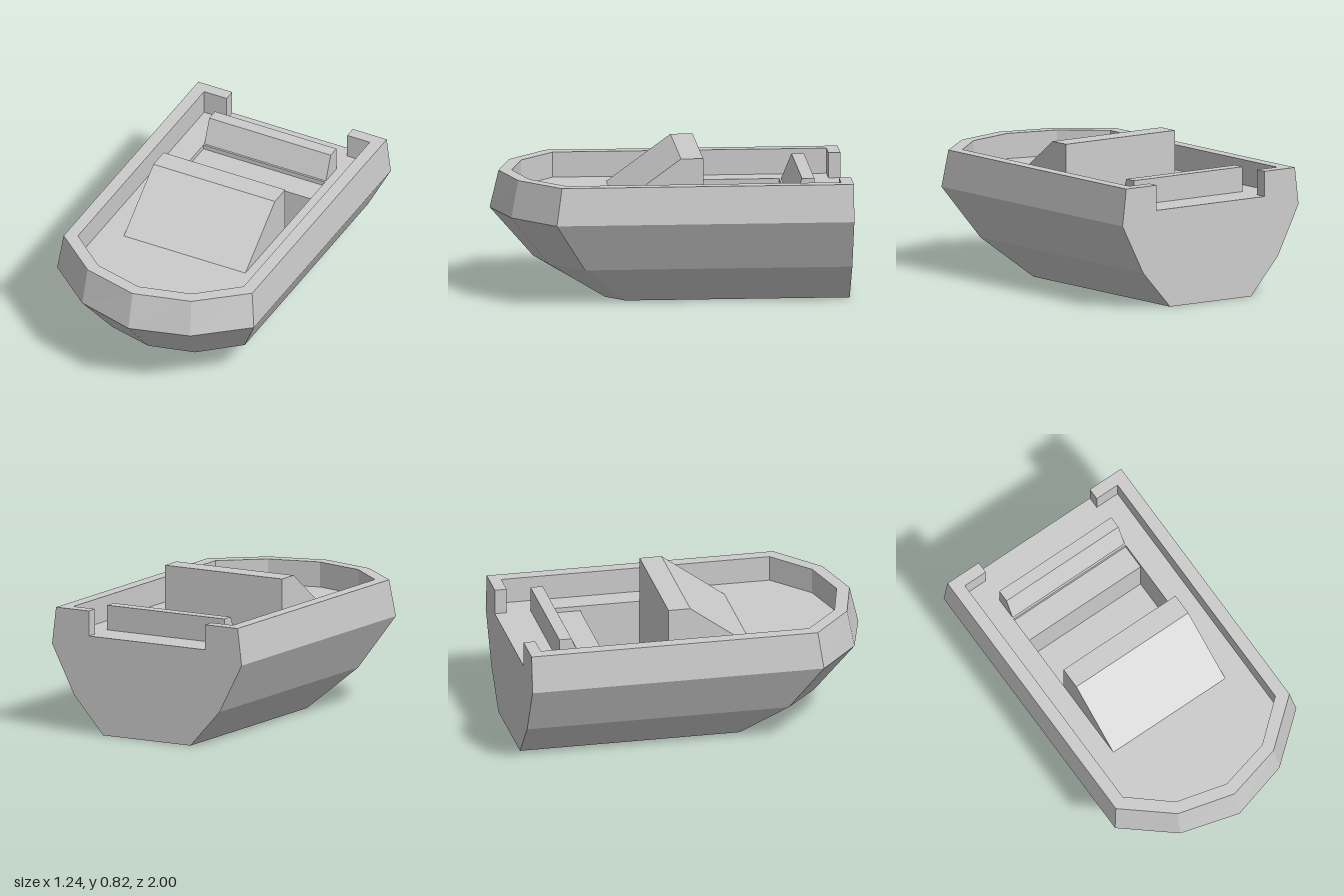
import * as THREE from 'three';

const material = new THREE.MeshStandardMaterial({ color: 0xcccccc, flatShading: true });
const RIM = 0.7, DECK = 0.557, WELL = 0.25, HALF = 0.383;

const toShape = (pts) => new THREE.Shape(pts.map(([x, y]) => new THREE.Vector2(x, y)));

// Half outline (+x side, stern to bow tip) mirrored into a full path from -x to +x.
function mirrored(half) {
  const left = half.map(([x, z]) => [-x, z]);
  const right = half.filter(([x]) => x !== 0).reverse();
  return [...left, ...right];
}

// Wall of quads between two matching paths at two heights.
function wall(low, yLow, high, yHigh) {
  const pos = [], index = [];
  for (let i = 0; i < low.length - 1; i++) {
    for (const [p, y] of [[low[i], yLow], [low[i + 1], yLow], [high[i + 1], yHigh], [high[i], yHigh]]) {
      pos.push(p[0], y, p[1]);
    }
    const k = i * 4;
    index.push(k, k + 1, k + 2, k, k + 2, k + 3);
  }
  const geo = new THREE.BufferGeometry();
  geo.setAttribute('position', new THREE.Float32BufferAttribute(pos, 3));
  geo.setIndex(index);
  geo.computeVertexNormals();
  return geo;
}

// Horizontal face looking up, with an optional hole.
function level(path, y, hole) {
  const flip = (pts) => pts.map(([x, z]) => [x, -z]);
  const shape = toShape(flip(path));
  if (hole) shape.holes.push(toShape(flip(hole)));
  return new THREE.ShapeGeometry(shape).rotateX(-Math.PI / 2).translate(0, y, 0);
}

// Side profile of [z, y] points extruded across the boat.
function across(profile) {
  return new THREE.ExtrudeGeometry(toShape(profile), { depth: HALF * 2, bevelEnabled: false })
    .translate(0, 0, -HALF)
    .rotateY(-Math.PI / 2);
}

export function createModel() {
  const boat = new THREE.Group();
  boat.name = 'boat';
  const add = (name, geometry) => {
    const mesh = new THREE.Mesh(geometry, material);
    mesh.name = name;
    boat.add(mesh);
  };

  // Hull sections: height, half width, shoulder z, cheek x, cheek z, bow tip z
  const sections = [
    [0, 0.285, 0.26, 0.16, 0.365, 0.4],
    [0.21, 0.475, 0.5, 0.26, 0.69, 0.755],
    [0.49, 0.62, 0.67, 0.34, 0.905, 1],
    [RIM, 0.594, 0.64, 0.327, 0.865, 0.95],
  ];
  const rings = sections.map(([, w, zs, cx, cz, tip]) => mirrored([[w, -1], [w, zs], [cx, cz], [0, tip]]));
  ['bottomStrake', 'middleStrake', 'topStrake'].forEach((name, i) => {
    add(name, wall(rings[i], sections[i][0], rings[i + 1], sections[i + 1][0]));
  });
  add('hullBottom', new THREE.ShapeGeometry(toShape(rings[0])).rotateX(Math.PI / 2));

  // Transom with its notch down to the deck
  const side = [...sections.map(([y, w]) => [w, y]), [0.38, RIM], [0.38, DECK]];
  const transom = [...side, ...side.map(([x, y]) => [-x, y]).reverse()];
  add('transom', new THREE.ShapeGeometry(toShape(transom)).rotateY(Math.PI).translate(0, 0, -1));

  // Gunwale, bulwark and deck share the inner outline, open at the stern notch
  const inner = mirrored([[0.38, -1], [0.38, -0.932], [0.522, -0.932], [0.522, 0.605], [0.295, 0.8], [0, 0.876]]).reverse();
  add('gunwale', level([...rings[3], ...inner], RIM));
  add('bulwark', wall(inner, DECK, inner, RIM));

  // Sunken cockpit between seat and console
  const well = [[HALF, -0.655], [HALF, -0.17], [-HALF, -0.17], [-HALF, -0.655]];
  add('deck', level(inner, DECK, well));
  const loop = [...well, well[0]];
  add('cockpitWalls', wall(loop, WELL, loop, DECK));
  add('cockpitFloor', level(well, WELL));

  // Sloped console and bench seat
  add('console', across([[0.315, DECK], [-0.045, 0.82], [-0.17, 0.82], [-0.17, DECK]]));
  add('seat', across([
    [-0.51, WELL], [-0.51, 0.53], [-0.655, 0.53], [-0.725, 0.698], [-0.795, 0.698], [-0.795, WELL],
  ]));

  return boat;
}
